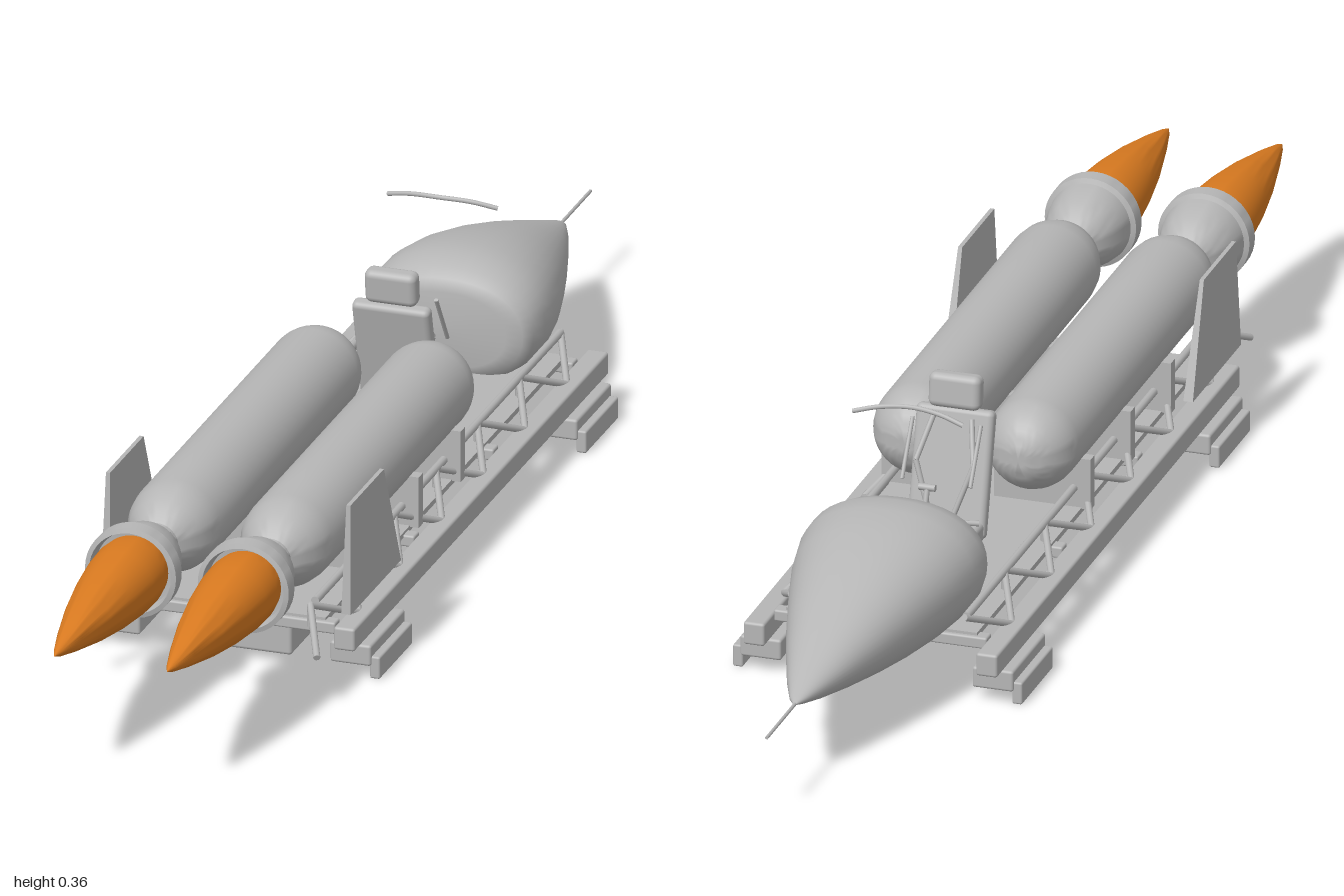
import * as THREE from 'three';
import { toCreasedNormals } from 'three/addons/utils/BufferGeometryUtils.js';
import { RoundedBoxGeometry } from 'three/addons/geometries/RoundedBoxGeometry.js';

const grey = new THREE.MeshStandardMaterial({ color: 0xb6b6b6 });
grey.name = 'bareMetal';
const orange = new THREE.MeshStandardMaterial({ color: 0xd97a20 });
orange.name = 'flameOrange';

const V = (x, y, z) => new THREE.Vector3(x, y, z);

function add(parent, name, geometry, material = grey) {
  const mesh = new THREE.Mesh(geometry, material);
  mesh.name = name;
  parent.add(mesh);
  return mesh;
}

// Box given by its limits on each axis, with optional rounded edges
function box(parent, name, [x0, x1], [y0, y1], [z0, z1], round = 0) {
  const size = [x1 - x0, y1 - y0, z1 - z0];
  const geo = round ? new RoundedBoxGeometry(...size, 3, round) : new THREE.BoxGeometry(...size);
  const mesh = add(parent, name, geo);
  mesh.position.set((x0 + x1) / 2, (y0 + y1) / 2, (z0 + z1) / 2);
  return mesh;
}

// Straight round bar between two points
function rod(parent, name, a, b, r) {
  const dir = b.clone().sub(a);
  const mesh = add(parent, name, new THREE.CylinderGeometry(r, r, dir.length(), 10));
  mesh.position.copy(a).add(b).multiplyScalar(0.5);
  mesh.quaternion.setFromUnitVectors(V(0, 1, 0), dir.normalize());
  return mesh;
}

// Turned part along z from [radius, z] pairs
function turned(parent, name, profile, x, y, material = grey) {
  const points = profile.map(([r, z]) => new THREE.Vector2(r, z));
  const geo = toCreasedNormals(new THREE.LatheGeometry(points, 40).rotateX(Math.PI / 2), 0.7);
  const mesh = add(parent, name, geo, material);
  mesh.position.set(x, y, 0);
  return mesh;
}

// Nose shell lofted through soft oval sections: [z, half width, top, bottom]
function noseGeometry() {
  const keys = [
    [-0.39, 0, 0.155, 0.155], [-0.391, 0.09, 0.21, 0.098], [-0.397, 0.113, 0.228, 0.082],
    [-0.41, 0.125, 0.241, 0.073], [-0.44, 0.131, 0.25, 0.068], [-0.48, 0.13, 0.251, 0.066],
    [-0.54, 0.119, 0.243, 0.066], [-0.61, 0.1, 0.225, 0.071], [-0.68, 0.079, 0.202, 0.08],
    [-0.75, 0.056, 0.176, 0.092], [-0.82, 0.031, 0.149, 0.106], [-0.865, 0.012, 0.131, 0.117],
    [-0.882, 0, 0.122, 0.122],
  ];
  const n = 40, pos = [], idx = [];
  const soft = (v) => Math.sign(v) * Math.abs(v) ** 0.9;
  keys.forEach(([z, w, top, bottom], i) => {
    for (let j = 0; j < n; j++) {
      const t = (j / n) * Math.PI * 2;
      pos.push(w * soft(Math.cos(t)), (top + bottom) / 2 + ((top - bottom) / 2) * soft(Math.sin(t)), z);
      if (i === keys.length - 1) continue;
      const a = i * n + j, b = i * n + ((j + 1) % n);
      idx.push(a, a + n, b, b, a + n, b + n);
    }
  });
  const geo = new THREE.BufferGeometry();
  geo.setAttribute('position', new THREE.Float32BufferAttribute(pos, 3));
  geo.setIndex(idx);
  geo.computeVertexNormals();
  return geo;
}

// Upright fin, thinner and shorter along its top edge
function finGeometry() {
  const geo = new THREE.BoxGeometry(1, 1, 1);
  const p = geo.attributes.position;
  for (let i = 0; i < p.count; i++) {
    const top = p.getY(i) > 0, front = p.getZ(i) > 0;
    p.setXYZ(i,
      0.177 + p.getX(i) * (top ? 0.006 : 0.014),
      top ? 0.27 : 0.11,
      front ? (top ? 0.51 : 0.52) : (top ? 0.37 : 0.31));
  }
  const flat = geo.toNonIndexed();
  flat.computeVertexNormals();
  return flat;
}

function addRocket(parent, side) {
  const rocket = new THREE.Group();
  rocket.name = side > 0 ? 'leftRocket' : 'rightRocket';
  parent.add(rocket);
  const x = side * 0.083, y = 0.2, r = 0.066;
  // Tank with a domed nose and a rounded shoulder
  const tank = [];
  for (let i = 0; i <= 10; i++) {
    const t = (i / 10) * Math.PI / 2;
    tank.push([r * Math.sin(t), -0.08 - 0.072 * Math.cos(t)]);
  }
  tank.push([r, 0.34], [r, 0.49], [0.063, 0.515], [0.054, 0.538], [0.042, 0.556], [0.03, 0.568]);
  turned(rocket, 'tank', tank, x, y);
  turned(rocket, 'nozzle', [
    [0.03, 0.566], [0.029, 0.58], [0.04, 0.592], [0.05, 0.61], [0.057, 0.635], [0.06, 0.655],
    [0.067, 0.658], [0.067, 0.682], [0.06, 0.684], [0.056, 0.665], [0, 0.66],
  ], x, y);
  turned(rocket, 'flame', [
    [0, 0.664], [0.05, 0.666], [0.053, 0.69], [0.052, 0.73], [0.046, 0.79], [0.035, 0.86],
    [0.019, 0.935], [0.007, 0.982], [0, 1],
  ], x, y, orange);
  // Cradles under the tank
  for (const z of [0.315, 0.14, -0.035]) {
    const xs = side > 0 ? [0.012, 0.153] : [-0.153, -0.012];
    box(rocket, 'tankCradle', xs, [0.09, 0.166], [z - 0.009, z + 0.009]);
  }
}

// One side of the chassis, built on +x
function chassisSide() {
  const g = new THREE.Group();
  box(g, 'mainRail', [0.155, 0.186], [0.05, 0.084], [-0.55, 0.51], 0.004);
  rod(g, 'upperRail', V(0.128, 0.12, -0.51), V(0.128, 0.12, 0.51), 0.006);
  // Zigzag bracing between the rails
  const step = 0.0868;
  const node = (i) => (i % 2 ? V(0.127, 0.12, 0.613 - i * step) : V(0.167, 0.08, 0.613 - i * step));
  for (let i = 0; i < 13; i++) rod(g, 'brace', node(i), node(i + 1), 0.005);
  for (let i = 1; i < 13; i += 2) {
    const p = node(i);
    rod(g, 'post', V(p.x, 0.088, p.z), p, 0.005);
  }
  // Sliding shoes
  for (const z of [0.41, -0.45]) {
    box(g, 'shoeBlock', [0.14, 0.2], [0.019, 0.05], [z - 0.072, z + 0.072], 0.004);
    box(g, 'shoeRunner', [0.197, 0.212], [0, 0.033], [z - 0.068, z + 0.068], 0.003);
  }
  add(g, 'sideFin', finGeometry());
  return g;
}

function addCockpit(parent) {
  const seat = new THREE.Group();
  seat.name = 'seat';
  parent.add(seat);
  const back = box(seat, 'seatBack', [-0.057, 0.057], [0.1, 0.282], [-0.204, -0.182], 0.008);
  back.rotation.x = 0.25;
  const head = box(seat, 'headrest', [-0.038, 0.038], [0.28, 0.33], [-0.188, -0.16], 0.01);
  head.rotation.x = 0.1;
  box(seat, 'seatPan', [-0.055, 0.055], [0.1, 0.13], [-0.325, -0.21], 0.008);
  for (const s of [-1, 1]) {
    // Harness straps and lap belt
    rod(seat, 'shoulderStrap', V(s * 0.028, 0.27, -0.19), V(s * 0.042, 0.215, -0.225), 0.004);
    rod(seat, 'shoulderStrap', V(s * 0.042, 0.215, -0.225), V(s * 0.018, 0.145, -0.24), 0.004);
    rod(seat, 'seatArm', V(s * 0.05, 0.275, -0.215), V(s * 0.05, 0.2, -0.262), 0.003);
    rod(seat, 'lapBelt', V(s * 0.052, 0.133, -0.23), V(0, 0.137, -0.25), 0.004);
  }
  rod(parent, 'controlStick', V(0, 0.095, -0.345), V(0, 0.21, -0.3), 0.004);
  rod(parent, 'controlGrip', V(-0.012, 0.21, -0.3), V(0.012, 0.21, -0.3), 0.005);
  // Windscreen rim
  const curve = new THREE.CatmullRomCurve3([
    V(-0.081, 0.35, -0.385), V(-0.045, 0.358, -0.377), V(0, 0.361, -0.371),
    V(0.045, 0.358, -0.377), V(0.081, 0.35, -0.385),
  ]);
  add(parent, 'windscreenRim', new THREE.TubeGeometry(curve, 32, 0.0035, 8));
}

export function createModel() {
  const model = new THREE.Group();
  model.name = 'rocketSled';

  const left = chassisSide();
  left.name = 'leftChassis';
  const right = chassisSide();
  right.name = 'rightChassis';
  right.scale.x = -1;
  model.add(left, right);

  // Deck and cross beams
  box(model, 'deck', [-0.14, 0.14], [0.084, 0.092], [-0.5, 0.5]);
  for (const z of [0.495, 0.165, -0.165, -0.495]) {
    box(model, 'crossBeam', [-0.156, 0.156], [0.071, 0.088], [z - 0.011, z + 0.011], 0.003);
  }
  box(model, 'brakeScoop', [-0.079, 0.079], [0.014, 0.065], [0.36, 0.47], 0.005);
  box(model, 'scoopMount', [-0.05, 0.05], [0.06, 0.086], [0.38, 0.45]);

  addRocket(model, 1);
  addRocket(model, -1);
  addCockpit(model);

  add(model, 'noseShell', noseGeometry());
  rod(model, 'pitotProbe', V(0, 0.122, -0.87), V(0, 0.122, -1), 0.0025);
  return model;
}
